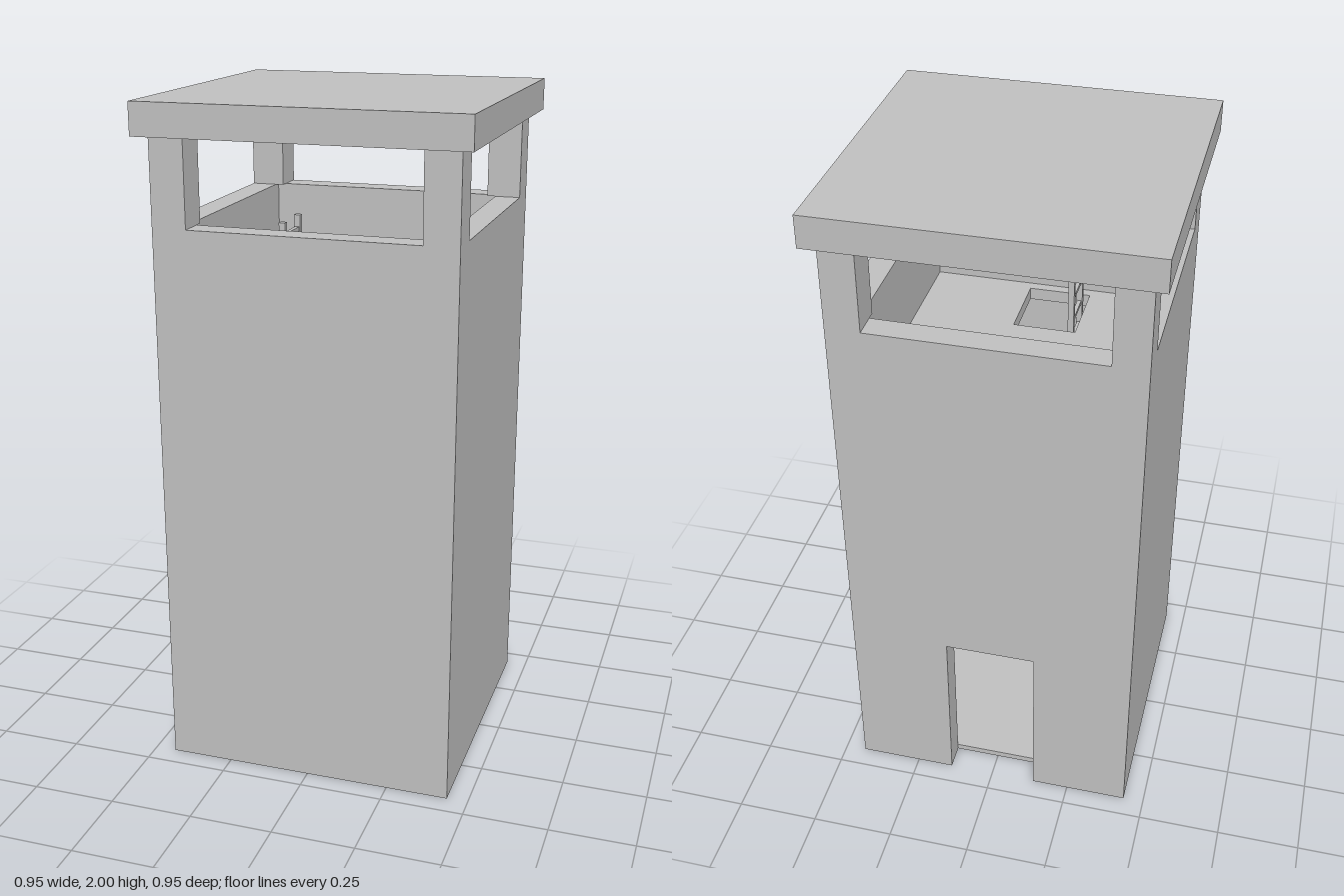
import * as THREE from 'three';

export function createModel() {
  const model = new THREE.Group();
  const concrete = new THREE.MeshStandardMaterial({ color: 0xbfbfbf });

  const H = 0.437;        // half width of the shaft
  const T = 0.076;        // wall thickness
  const IN = H - T;       // half width of the interior
  const SILL = 1.653;     // top of the walls
  const EAVE = 1.906;     // underside of the roof
  const DECK = 1.387;     // top of the upper floor

  const add = (name, geometry, parent = model) => {
    const mesh = new THREE.Mesh(geometry, concrete);
    mesh.name = name;
    parent.add(mesh);
    return mesh;
  };
  // Box given by its lower and upper corners
  const box = (name, a, b, parent) => {
    const g = new THREE.BoxGeometry(b[0] - a[0], b[1] - a[1], b[2] - a[2]);
    g.translate((a[0] + b[0]) / 2, (a[1] + b[1]) / 2, (a[2] + b[2]) / 2);
    return add(name, g, parent);
  };

  // Plain walls
  box('frontWall', [-H, 0, IN], [H, SILL, H]);
  box('leftWall', [IN, 0, -IN], [H, SILL, IN]);
  box('rightWall', [-H, 0, -IN], [-IN, SILL, IN]);

  // Back wall with the doorway cut up from the ground
  const D = 0.137, DOOR = 0.548;
  const outline = [[-H, 0], [-D, 0], [-D, DOOR], [D, DOOR], [D, 0], [H, 0], [H, SILL], [-H, SILL]];
  const wall = new THREE.Shape(outline.map(([x, y]) => new THREE.Vector2(x, y)));
  const backWall = new THREE.ExtrudeGeometry(wall, { depth: T, bevelEnabled: false });
  add('backWall', backWall.translate(0, 0, -H));

  // Ground floor inside the walls
  box('groundFloor', [-IN, 0, -IN], [IN, 0.019, IN]);

  // Upper floor with a ladder hatch
  const deck = new THREE.Shape();
  deck.moveTo(-IN, -IN).lineTo(IN, -IN).lineTo(IN, IN).lineTo(-IN, IN).closePath();
  const hatch = new THREE.Path();
  hatch.moveTo(-0.13, -0.33).lineTo(-0.13, -0.112).lineTo(0.058, -0.112).lineTo(0.058, -0.33).closePath();
  deck.holes.push(hatch);
  const deckGeo = new THREE.ExtrudeGeometry(deck, { depth: 0.038, bevelEnabled: false });
  add('upperFloor', deckGeo.rotateX(-Math.PI / 2).translate(0, DECK - 0.038, 0));

  // Corner posts carrying the roof
  const P = 0.101;
  for (const sx of [-1, 1]) for (const sz of [-1, 1]) {
    const post = add('cornerPost', new THREE.BoxGeometry(P, EAVE - SILL, P));
    post.position.set(sx * (H - P / 2), (EAVE + SILL) / 2, sz * (H - P / 2));
  }

  // Flat roof slab
  box('roof', [-0.474, EAVE, -0.474], [0.474, 2, 0.474]);

  // Ladder from the ground through the hatch
  const ladder = new THREE.Group();
  ladder.name = 'ladder';
  model.add(ladder);
  const LX = -0.108, TOP = 1.66, R = 0.009;
  for (const z of [0.16, 0.285]) {
    box('ladderRail', [LX - R, 0.019, z - R], [LX + R, TOP, z + R], ladder);
  }
  for (let y = 0.1; y < TOP - 0.02; y += 0.076) {
    box('ladderRung', [LX - 0.006, y - 0.006, 0.169], [LX + 0.006, y + 0.006, 0.276], ladder);
  }

  return model;
}
